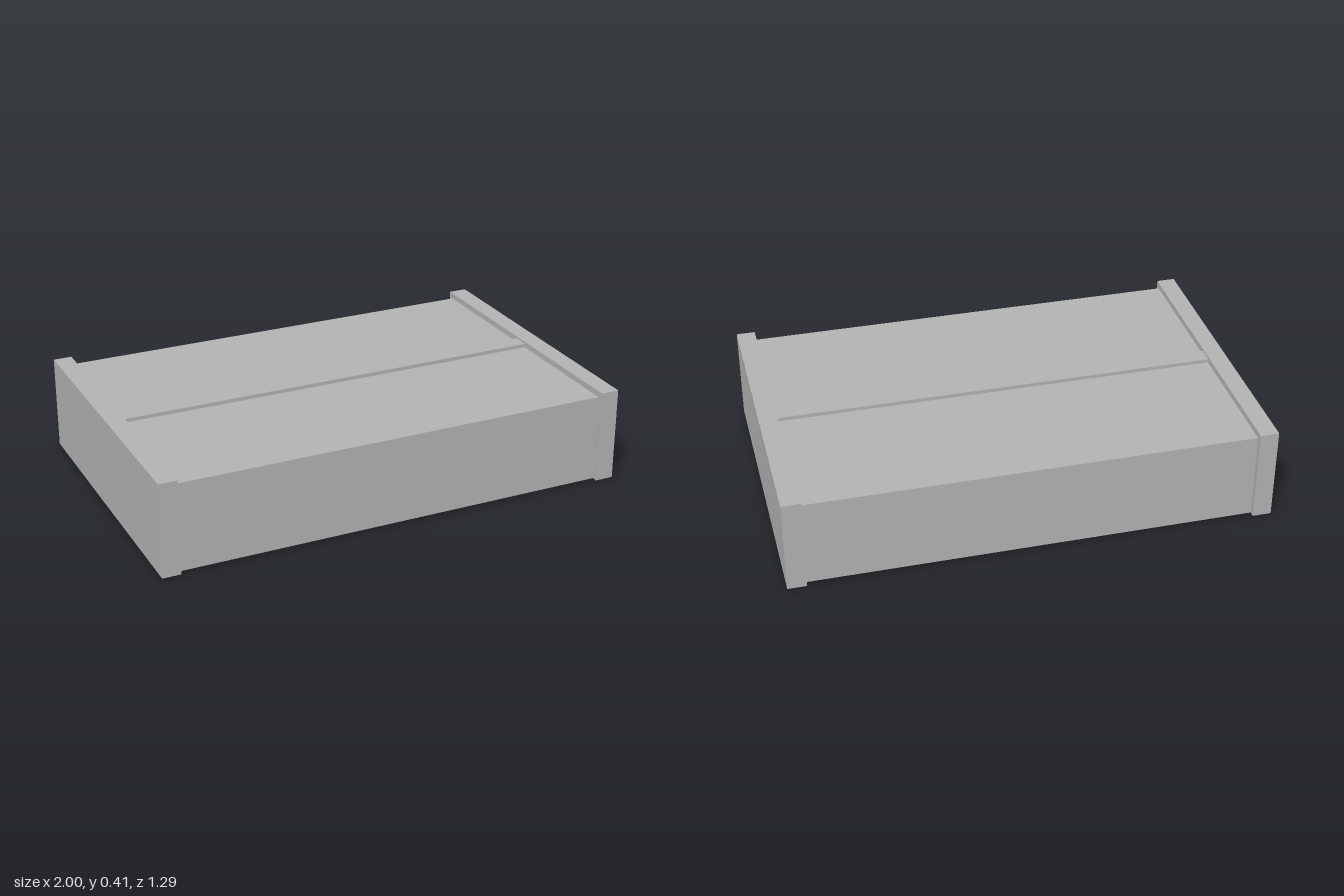
import * as THREE from 'three';

export function createModel() {
  const model = new THREE.Group();
  const grey = new THREE.MeshStandardMaterial({ color: 0xb2b2b2 });
  grey.name = 'plain grey';

  const BASE = 0.008; // underside of the solid parts

  // Box standing on BASE, or on a given height
  function box(name, width, depth, top, x = 0, bottom = BASE) {
    const mesh = new THREE.Mesh(new THREE.BoxGeometry(width, top - bottom, depth), grey);
    mesh.name = name;
    mesh.position.set(x, (top + bottom) / 2, 0);
    model.add(mesh);
  }

  // Main block between the end panels
  box('body', 1.844, 1.244, 0.38);

  // Raised strip across the middle of the top
  box('centreStrip', 1.844, 0.07, 0.396, 0, 0.38);

  // End panels, standing slightly proud of the block
  for (const side of [-1, 1]) {
    box(side > 0 ? 'leftEndPanel' : 'rightEndPanel', 0.078, 1.292, 0.405, side * 0.961);
  }

  // Flat underside
  const underside = new THREE.Mesh(new THREE.PlaneGeometry(2, 1.244), grey);
  underside.name = 'underside';
  underside.rotation.x = Math.PI / 2;
  model.add(underside);

  return model;
}
